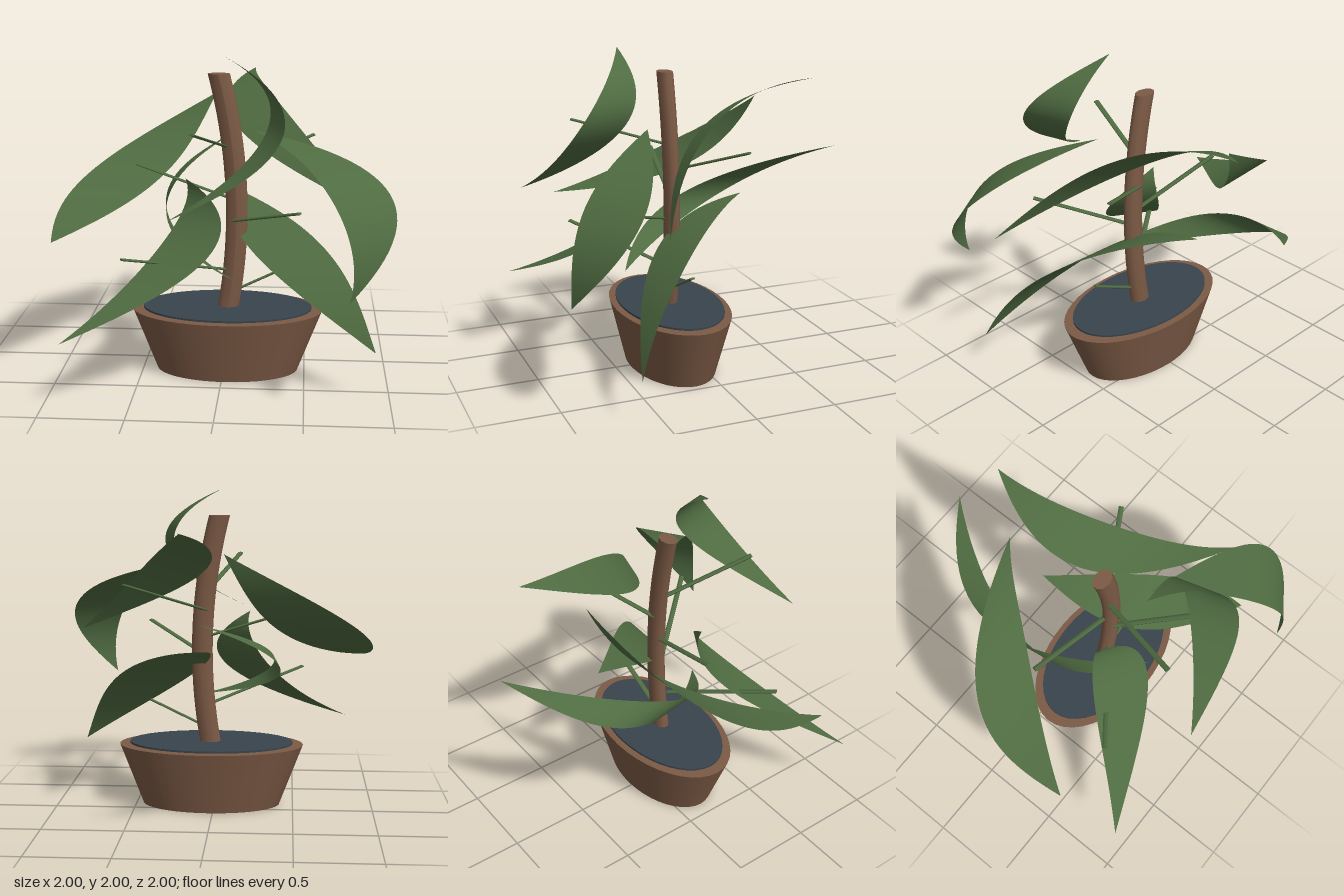
import * as THREE from 'three';

const mat = (color, side = THREE.FrontSide) => new THREE.MeshStandardMaterial({ color, side });
const V = (a) => new THREE.Vector3(...a);

// Leaf blade: arched spine through start, middle and tip, swept along a fixed width vector
function leafGeometry(start, middle, tip, width, rows = 28, cols = 6) {
  const s = V(start), e = V(tip), w = V(width);
  const control = V(middle).multiplyScalar(2).addScaledVector(s, -0.5).addScaledVector(e, -0.5);
  const spine = new THREE.QuadraticBezierCurve3(s, control, e);
  const g = new THREE.PlaneGeometry(1, 1, cols, rows);
  const p = g.attributes.position;
  for (let i = 0; i < p.count; i++) {
    const t = 0.5 - p.getY(i);
    const point = spine.getPoint(t).addScaledVector(w, 2 * p.getX(i) * Math.sin(Math.PI * t));
    p.setXYZ(i, point.x, point.y, point.z);
  }
  g.computeVertexNormals();
  return g;
}

// Straight stalk between two points, wider sideways than it is thick
function stalkGeometry(from, to) {
  const a = V(from), b = V(to);
  const g = new THREE.CylinderGeometry(0.018, 0.018, a.distanceTo(b), 6)
    .rotateX(Math.PI / 2).scale(1, 0.45, 1);
  g.applyMatrix4(new THREE.Matrix4().lookAt(b, a, new THREE.Vector3(0, 1, 0)));
  const c = a.add(b).multiplyScalar(0.5);
  return g.translate(c.x, c.y, c.z);
}

export function createModel() {
  const plant = new THREE.Group();
  plant.name = 'pottedPlant';
  const brown = mat(0x7c5a45), green = mat(0x4f6b41), soilColor = mat(0x38444c);
  const leafGreen = mat(0x4f6b41, THREE.DoubleSide);
  const add = (name, geometry, material, parent = plant) => {
    const m = new THREE.Mesh(geometry, material);
    m.name = name;
    parent.add(m);
    return m;
  };

  // Oval tapered pot and the soil disc on top
  add('pot', new THREE.CylinderGeometry(0.586, 0.437, 0.388, 40)
    .scale(1, 1, 0.588).translate(0.022, 0.194, 0.15), brown);
  add('soil', new THREE.CylinderGeometry(0.52, 0.52, 0.012, 40)
    .scale(1, 1, 0.588).translate(0.022, 0.4, 0.15), soilColor);

  // Bowed trunk
  const trunk = new THREE.CylinderGeometry(0.068, 0.068, 1.45, 10, 24)
    .scale(1, 1, 0.7).translate(0, 1.115, 0.15);
  const p = trunk.attributes.position;
  for (let i = 0; i < p.count; i++) {
    const u = (p.getY(i) - 0.39) / 1.45;
    p.setX(i, p.getX(i) + 0.025 + 0.26 * u - 0.315 * u * u);
  }
  trunk.computeVertexNormals();
  add('trunk', trunk, brown);

  // Stalks: base on the trunk, free end
  const stalks = new THREE.Group();
  stalks.name = 'stalks';
  plant.add(stalks);
  [
    [[0.08, 0.51, 0.15], [0.41, 0.67, 0.15]],
    [[0.01, 0.65, 0.19], [-0.56, 0.82, 0.61]],
    [[0.05, 0.95, 0.18], [0.46, 1.12, 0.65]],
    [[0.02, 1.09, 0.14], [-0.54, 1.27, 0.06]],
    [[0.05, 1.25, 0.12], [0.54, 1.43, -0.15]],
    [[0.01, 1.41, 0.18], [-0.14, 1.57, 0.71]],
  ].forEach(([a, b]) => add('stalk', stalkGeometry(a, b), green, stalks));

  // Leaves: start, middle, tip, half width
  const leaves = new THREE.Group();
  leaves.name = 'leaves';
  plant.add(leaves);
  const leaf = (name, ...shape) => add(name, leafGeometry(...shape), leafGreen, leaves);
  leaf('upperRightLeaf', [-0.09, 1.64, -0.475], [-0.645, 1.16, -0.11], [-0.97, 0.91, 0.6], [0.23, -0.01, -0.01]);
  leaf('lowerLeftLeaf', [0.01, 1.05, -0.34], [0.39, 0.81, 0.28], [0.91, 0.3, 0.65], [0.225, 0.004, 0.004]);
  leaf('upperBackLeaf', [0.15, 1.77, -0.76], [0.215, 1.545, -0.04], [0.9, 1.08, 0.48], [0.155, 0.045, 0.02]);
  leaf('frontLeftLeaf', [0.18, 1.54, 0.34], [0.8, 1.24, 0.76], [0.74, 0.71, 0.99], [0.16, 0, -0.11]);
  leaf('topFrontLeaf', [-0.03, 2, 0.45], [0.325, 1.6, 0.66], [-0.25, 1.15, 1], [0.045, 0, 0.155]);
  leaf('lowerBackLeaf', [0.02, 1.3, -1], [-0.4, 0.96, -0.25], [0.09, 0.655, 0.46], [0.02, 0.01, 0.16]);
  leaf('lowerRightLeaf', [-0.22, 1.23, 0.27], [-0.2, 0.85, 0.45], [-0.87, 0.42, 0.95], [0.155, 0, 0.09]);
  return plant;
}
